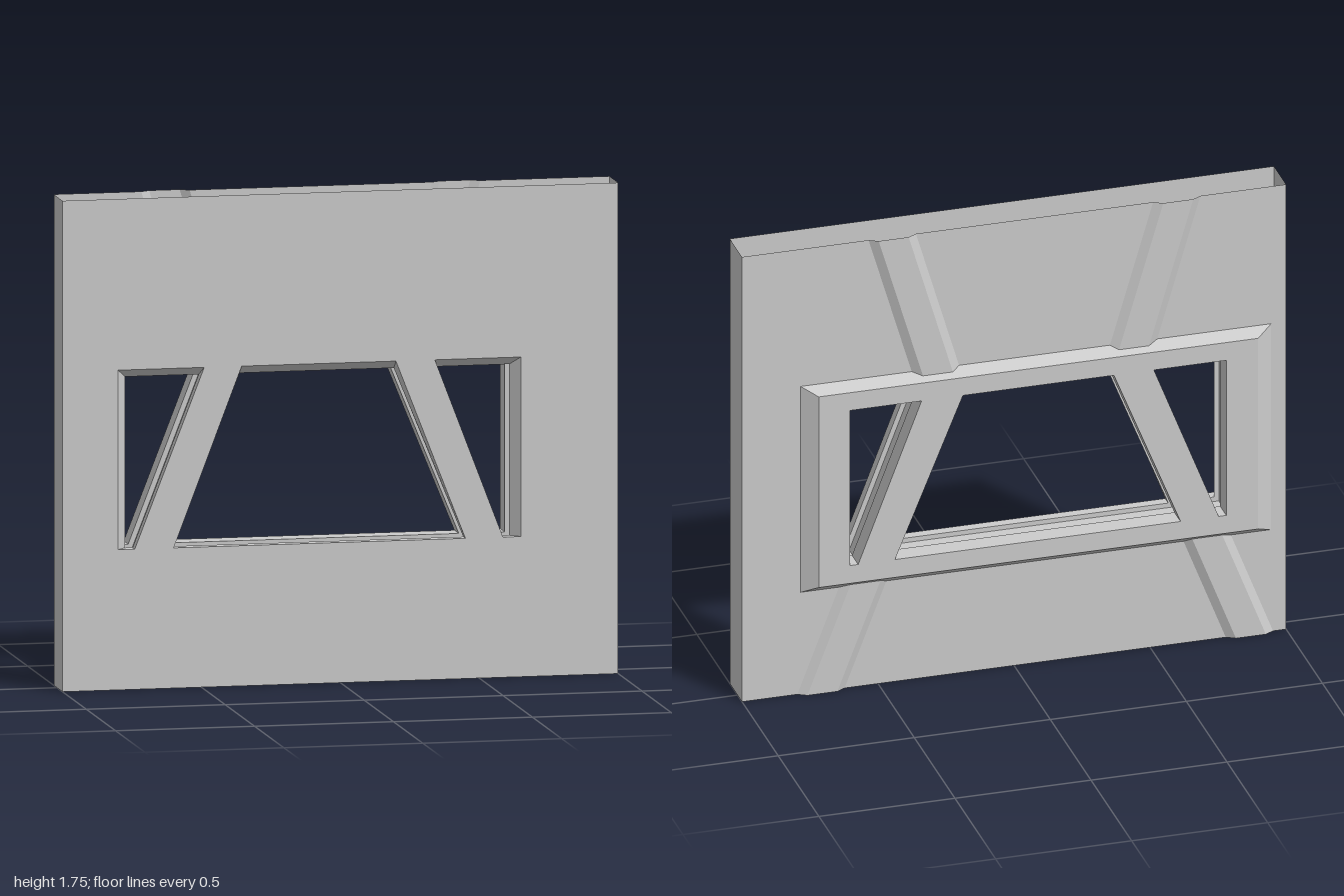
import * as THREE from 'three';

const FRONT = 0.095, BACK = -0.055, RIB = -0.073, FRAME = -0.095, TOP = 1.75;
const material = new THREE.MeshStandardMaterial({ color: 0xcccccc, side: THREE.DoubleSide, flatShading: true });

function addMesh(parent, name, geometry) {
  const mesh = new THREE.Mesh(geometry, material);
  mesh.name = name;
  parent.add(mesh);
  return mesh;
}

// Joins successive cross-sections (arrays of [x, y, z]) with flat quads
function loft(sections, closed) {
  const pos = [];
  for (let s = 0; s < sections.length - 1; s++) {
    const a = sections[s], b = sections[s + 1], n = a.length;
    for (let i = 0; i < (closed ? n : n - 1); i++) {
      const j = (i + 1) % n;
      pos.push(...a[i], ...b[i], ...b[j], ...a[i], ...b[j], ...a[j]);
    }
  }
  const g = new THREE.BufferGeometry();
  g.setAttribute('position', new THREE.Float32BufferAttribute(pos, 3));
  g.computeVertexNormals();
  return g;
}

const atZ = (points, z) => points.map(([x, y]) => [x, y, z]);
const toPath = (points) => points.map(([x, y]) => new THREE.Vector2(x, y));
const rect = (x0, y0, x1, y1) => [[x0, y0], [x1, y0], [x1, y1], [x0, y1]];

// Flat sheet with cut-outs, at depth z
function sheet(outline, holes, z, facingBack) {
  const shape = new THREE.Shape(toPath(outline));
  for (const h of holes) shape.holes.push(new THREE.Path(toPath(h)));
  const g = new THREE.ShapeGeometry(shape);
  if (facingBack) {
    const idx = g.index.array;
    for (let i = 0; i < idx.length; i += 3) [idx[i], idx[i + 1]] = [idx[i + 1], idx[i]];
    g.computeVertexNormals();
  }
  return g.translate(0, 0, z);
}

// Moves every edge of a counter-clockwise convex polygon outwards by d
function grow(points, d) {
  const n = points.length;
  const normal = (i) => {
    const [a, b] = [points[i], points[(i + 1) % n]];
    const l = Math.hypot(b[0] - a[0], b[1] - a[1]);
    return [(b[1] - a[1]) / l, (a[0] - b[0]) / l];
  };
  return points.map(([x, y], i) => {
    const p = normal((i + n - 1) % n), q = normal(i);
    const k = d / (1 + p[0] * q[0] + p[1] * q[1]);
    return [x + (p[0] + q[0]) * k, y + (p[1] + q[1]) * k];
  });
}

// Back skin section at height y, with a hollow raised rib at each centre
function skinSection(y, centres) {
  const points = [[-1, y, BACK]];
  for (const c of centres) {
    points.push([c - 0.087, y, BACK], [c - 0.055, y, RIB], [c + 0.055, y, RIB], [c + 0.087, y, BACK]);
  }
  points.push([1, y, BACK]);
  return points;
}

export function createModel() {
  const model = new THREE.Group();
  model.name = 'wallPanel';

  // Window openings: outer edge on the front, and the clear opening behind the chamfer
  const windows = [
    { name: 'rightWindow',
      outer: [[-0.8, 0.5], [-0.74, 0.5], [-0.49, 1.14], [-0.8, 1.14]],
      inner: [[-0.768, 0.5], [-0.74, 0.5], [-0.502, 1.11], [-0.768, 1.11]] },
    { name: 'centreWindow',
      outer: [[-0.6, 0.5], [0.45, 0.5], [0.2, 1.14], [-0.355, 1.14]],
      inner: [[-0.6, 0.5], [0.45, 0.5], [0.2, 1.11], [-0.355, 1.11]] },
    { name: 'leftWindow',
      outer: [[0.585, 0.5], [0.65, 0.5], [0.65, 1.14], [0.34, 1.14]],
      inner: [[0.585, 0.5], [0.615, 0.5], [0.615, 1.11], [0.352, 1.11]] },
  ];

  // Front skin and the two end walls; top and bottom stay open
  addMesh(model, 'frontSkin', sheet(rect(-1, 0, 1, TOP), windows.map((w) => w.outer), FRONT));
  for (const side of [-1, 1]) {
    const wall = new THREE.PlaneGeometry(FRONT - BACK, TOP);
    wall.rotateY(side * Math.PI / 2).translate(side, TOP / 2, (FRONT + BACK) / 2);
    addMesh(model, side < 0 ? 'rightEndWall' : 'leftEndWall', wall);
  }

  // Linings: chamfer, glazing groove, then straight through to the back frame
  for (const w of windows) {
    const groove = grow(w.inner, 0.018);
    addMesh(model, w.name + 'Lining', loft([
      atZ(w.outer, FRONT), atZ(w.inner, 0.057), atZ(groove, 0.057),
      atZ(groove, -0.019), atZ(w.inner, -0.019), atZ(w.inner, FRAME),
    ], true));
  }

  // Back skin above and below the frame, with ribs splayed outwards
  addMesh(model, 'upperBackSkin', loft([
    skinSection(TOP, [-0.598, 0.448]), skinSection(1.185, [-0.432, 0.282]),
  ], false));
  addMesh(model, 'lowerBackSkin', loft([
    skinSection(0.425, [-0.7, 0.547]), skinSection(0, [-0.865, 0.71]),
  ], false));

  // Back skin beside the frame
  addMesh(model, 'rightBackSkin', sheet(rect(-1, 0.425, -0.945, 1.185), [], BACK, true));
  addMesh(model, 'leftBackSkin', sheet(rect(0.785, 0.425, 1, 1.185), [], BACK, true));

  // Raised window frame with sloping edges
  const frameBase = rect(-0.945, 0.4, 0.785, 1.21);
  const frameFace = rect(-0.885, 0.43, 0.73, 1.18);
  const frame = new THREE.Group();
  frame.name = 'windowFrame';
  addMesh(frame, 'frameBevel', loft([atZ(frameFace, FRAME), atZ(frameBase, BACK)], true));
  addMesh(frame, 'frameFace', sheet(frameFace, windows.map((w) => w.inner), FRAME, true));
  model.add(frame);

  return model;
}
